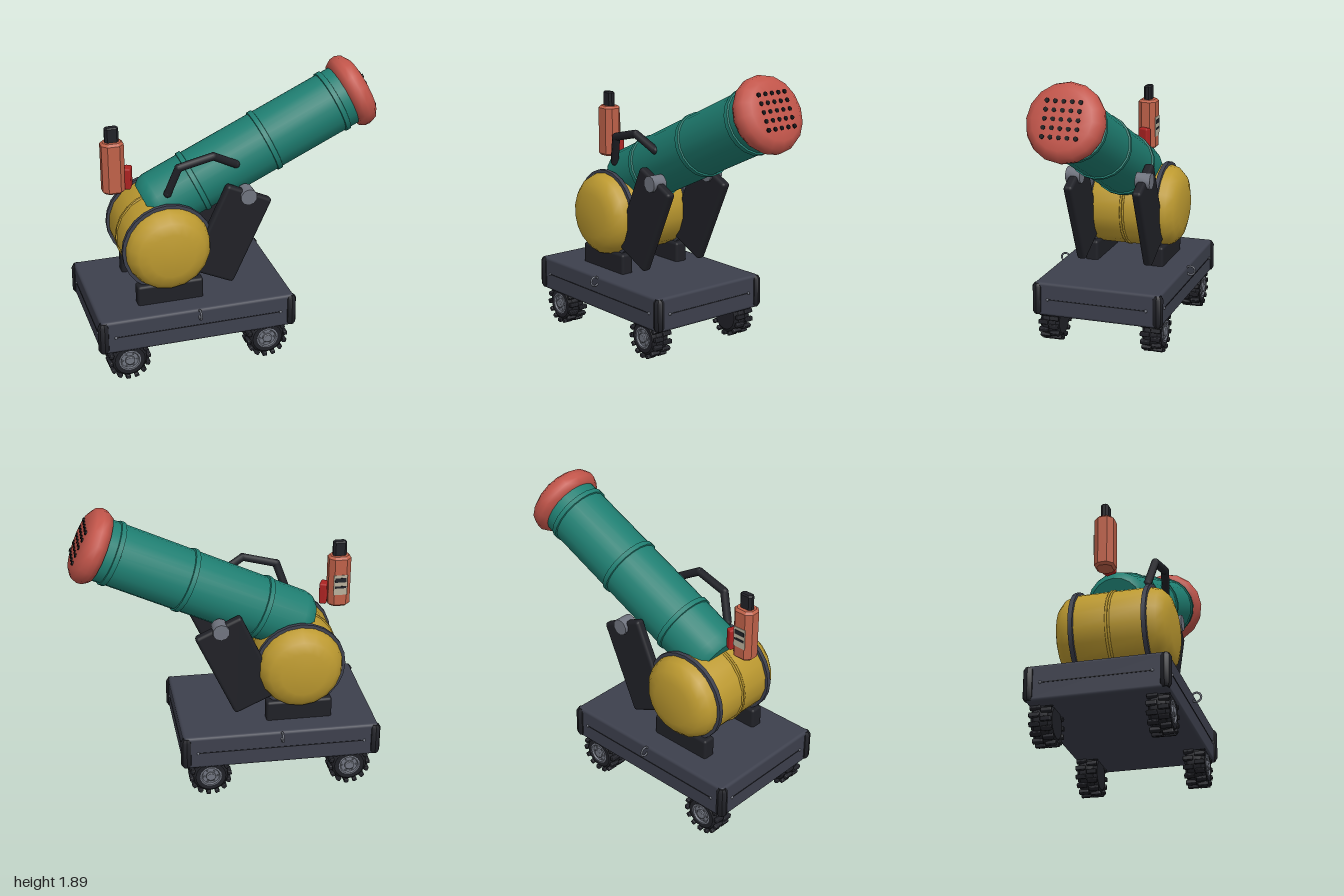
import * as THREE from 'three';
import { toCreasedNormals } from 'three/addons/utils/BufferGeometryUtils.js';
import { RoundedBoxGeometry } from 'three/addons/geometries/RoundedBoxGeometry.js';

const paint = (color) => new THREE.MeshStandardMaterial({ color });
const GREEN = paint(0x1f7f72), CORAL = paint(0xc2554a), YELLOW = paint(0xbd9a30), SLATE = paint(0x3d404d);
const BLACK = paint(0x202127), STEEL = paint(0x70747f), ORANGE = paint(0xbf6149), RED = paint(0xad2322);
const PALE = paint(0xb9b09c), HOLE = paint(0x0c0c10);

function add(parent, name, geometry, material, x = 0, y = 0, z = 0) {
  const mesh = new THREE.Mesh(geometry, material);
  mesh.name = name;
  mesh.position.set(x, y, z);
  parent.add(mesh);
  return mesh;
}

function group(parent, name, x = 0, y = 0, z = 0) {
  const g = new THREE.Group();
  g.name = name;
  g.position.set(x, y, z);
  parent.add(g);
  return g;
}

// Profile of [radius, height] pairs, from low to high
function lathe(profile, segments, crease = 0.6) {
  const points = profile.map(([r, h]) => new THREE.Vector2(r, h));
  return toCreasedNormals(new THREE.LatheGeometry(points, segments), crease);
}

const roundBox = (w, h, d, r) => new RoundedBoxGeometry(w, h, d, 2, r);
const ringY = (r, tube, segments = 24) => new THREE.TorusGeometry(r, tube, 6, segments).rotateX(Math.PI / 2);

function buildBarrel(root) {
  // Local y runs along the barrel towards the muzzle
  const barrel = group(root, 'barrel', 0.245, 1.385, 0);
  barrel.rotation.z = THREE.MathUtils.degToRad(-65);
  add(barrel, 'tube', lathe([[0, -0.88], [0.165, -0.88], [0.195, -0.845], [0.205, -0.8],
    [0.205, 0.66], [0, 0.66]], 20), GREEN);
  for (const t of [-0.535, 0, 0.514]) {
    add(barrel, 'barrelBand', lathe([[0.2, t - 0.02], [0.215, t - 0.016], [0.215, t + 0.016], [0.2, t + 0.02]], 20), GREEN);
  }
  add(barrel, 'muzzleCap', lathe([[0.19, 0.59], [0.225, 0.595], [0.247, 0.63], [0.25, 0.665],
    [0.235, 0.705], [0.19, 0.735], [0.12, 0.742], [0, 0.744]], 16, 0.9), CORAL);
  // Grid of vent holes in the muzzle
  for (let i = -2; i <= 2; i++) {
    for (let j = -2; j <= 2; j++) {
      add(barrel, 'ventHole', new THREE.CylinderGeometry(0.014, 0.014, 0.016, 10), HOLE, i * 0.055, 0.74, j * 0.053);
    }
  }
}

function buildHandle(root) {
  // Bent square-ish bar: straight runs joined by rounded knuckles
  const handle = group(root, 'handle');
  const points = [[-0.46, 1.18, 0.18], [-0.395, 1.365, 0.215], [-0.17, 1.42, 0.225], [-0.01, 1.33, 0.19]]
    .map((p) => new THREE.Vector3(...p));
  points.forEach((p, i) => {
    add(handle, 'handleKnuckle', new THREE.SphereGeometry(0.027, 10, 8), BLACK, p.x, p.y, p.z);
    if (i === 0) return;
    const run = new THREE.LineCurve3(points[i - 1], p);
    add(handle, 'handleBar', new THREE.TubeGeometry(run, 1, 0.027, 8), BLACK);
  });
}

function buildDrum(root) {
  // Local y runs along the drum, turned onto z
  const drum = group(root, 'drum', -0.48, 0.825, 0);
  drum.rotation.x = Math.PI / 2;
  add(drum, 'drumBody', lathe([[0, -0.37], [0.15, -0.367], [0.22, -0.345], [0.265, -0.3], [0.285, -0.235],
    [0.285, 0.235], [0.265, 0.3], [0.22, 0.345], [0.15, 0.367], [0, 0.37]], 18, 0.7), YELLOW);
  for (const s of [-1, 1]) {
    add(drum, 'drumBand', lathe([[0.28, s * 0.232 - 0.016], [0.302, s * 0.232 - 0.014],
      [0.302, s * 0.232 + 0.014], [0.28, s * 0.232 + 0.016]], 24), SLATE);
    add(drum, 'drumSeam', ringY(0.284, 0.008), YELLOW, 0, s * 0.008, 0);
  }
}

function buildSupports(root) {
  for (const s of [-1, 1]) {
    const plate = add(root, 'supportPlate', roundBox(0.33, 0.63, 0.065, 0.022), BLACK, -0.065, 0.865, s * 0.235);
    plate.rotation.z = THREE.MathUtils.degToRad(-25);
    const pivot = add(root, 'pivot', toCreasedNormals(new THREE.CylinderGeometry(0.055, 0.055, 0.1, 10), 0.7),
      STEEL, 0.05, 1.13, s * 0.24);
    pivot.rotation.x = Math.PI / 2;
    add(root, 'plinth', roundBox(0.44, 0.15, 0.09, 0.018), BLACK, -0.475, 0.51, s * 0.235);
  }
}

function buildPlatform(root) {
  const platform = group(root, 'platform', -0.33, 0.335, 0);
  add(platform, 'deck', roundBox(1.3, 0.23, 0.87, 0.02), SLATE);
  const post = lathe([[0, -0.107], [0.024, -0.107], [0.037, -0.085], [0.037, 0.085], [0.024, 0.107], [0, 0.107]], 8);
  for (const s of [-1, 1]) {
    // Seam lines and rivets on the sides and ends
    add(platform, 'sideSeam', new THREE.BoxGeometry(1.11, 0.006, 0.006), BLACK, 0, 0, s * 0.435);
    add(platform, 'endSeam', new THREE.BoxGeometry(0.006, 0.006, 0.68), BLACK, s * 0.65, 0, 0);
    for (const t of [-1, 1]) {
      add(platform, 'cornerPost', post, BLACK, s * 0.63, 0, t * 0.415);
      add(platform, 'sideRivet', new THREE.SphereGeometry(0.01, 8, 6), STEEL, s * 0.555, 0, t * 0.435);
      add(platform, 'endRivet', new THREE.SphereGeometry(0.01, 8, 6), STEEL, s * 0.65, 0, t * 0.34);
    }
    const ring = add(platform, 'tieRing', new THREE.TorusGeometry(0.031, 0.007, 6, 16), STEEL, 0, 0.085, s * 0.455);
    ring.rotation.y = Math.PI / 2;
  }
}

function buildWheel(root, x, side) {
  const wheel = group(root, 'wheel', x, 0.142, side * 0.355);
  wheel.rotation.x = side * Math.PI / 2;
  add(wheel, 'tyre', lathe([[0, -0.065], [0.095, -0.065], [0.12, -0.045], [0.126, 0], [0.12, 0.045],
    [0.1, 0.066], [0.07, 0.066], [0.068, 0.05]], 20), BLACK);
  // Staggered tread lugs
  for (let i = 0; i < 14; i++) {
    const a = (i / 14) * Math.PI * 2;
    for (const s of [-1, 1]) {
      const b = a + s * Math.PI / 28;
      const lug = add(wheel, 'treadLug', roundBox(0.028, 0.066, 0.03, 0.006), BLACK,
        Math.cos(b) * 0.126, s * 0.036, -Math.sin(b) * 0.126);
      lug.rotation.y = b;
    }
  }
  add(wheel, 'rim', lathe([[0.072, 0.045], [0.072, 0.068], [0.062, 0.07], [0.056, 0.06], [0, 0.06]], 20), STEEL);
  add(wheel, 'hub', lathe([[0.032, 0.05], [0.032, 0.072], [0.025, 0.077], [0, 0.077]], 14), STEEL);
  for (let i = 0; i < 6; i++) {
    const a = (i / 6) * Math.PI * 2;
    add(wheel, 'wheelBolt', new THREE.SphereGeometry(0.006, 6, 5), STEEL, Math.cos(a) * 0.046, 0.061, Math.sin(a) * 0.046);
  }
}

// Upright block with chamfered corners and bevelled ends
function chamferBlock(w, h, d, c, bevel) {
  const x = w / 2 - bevel, z = d / 2 - bevel;
  const shape = new THREE.Shape([[x - c, -z], [x, c - z], [x, z - c], [x - c, z], [c - x, z], [-x, z - c],
    [-x, c - z], [c - x, -z]].map(([a, b]) => new THREE.Vector2(a, b)));
  const geometry = new THREE.ExtrudeGeometry(shape, { depth: h - 2 * bevel, bevelEnabled: true,
    bevelThickness: bevel, bevelSize: bevel, bevelSegments: 1 });
  return geometry.translate(0, 0, bevel - h / 2).rotateX(-Math.PI / 2);
}

function buildCanister(root) {
  const canister = group(root, 'canister', -0.77, 1.33, -0.01);
  add(canister, 'canisterBody', chamferBlock(0.146, 0.35, 0.125, 0.025, 0.015), ORANGE, 0, -0.003, 0);
  add(canister, 'canisterLid', chamferBlock(0.09, 0.12, 0.05, 0.01, 0.008), BLACK, 0, 0.21, 0);
  const clip = add(canister, 'clip', roundBox(0.05, 0.145, 0.08, 0.012), RED, 0.097, -0.09, 0);
  clip.rotation.y = -0.4;
  // Plain panel with dark strips on the back
  add(canister, 'panel', new THREE.BoxGeometry(0.09, 0.14, 0.004), PALE, 0, -0.02, -0.063);
  add(canister, 'panelStrip', new THREE.BoxGeometry(0.075, 0.03, 0.004), BLACK, 0, 0.015, -0.065);
  add(canister, 'panelStrip', new THREE.BoxGeometry(0.075, 0.015, 0.004), BLACK, 0, -0.035, -0.065);
}

export function createModel() {
  const root = new THREE.Group();
  root.name = 'wheeledCannon';
  buildBarrel(root);
  buildHandle(root);
  buildDrum(root);
  buildSupports(root);
  buildPlatform(root);
  for (const x of [-0.795, 0.14]) for (const side of [-1, 1]) buildWheel(root, x, side);
  buildCanister(root);
  return root;
}
